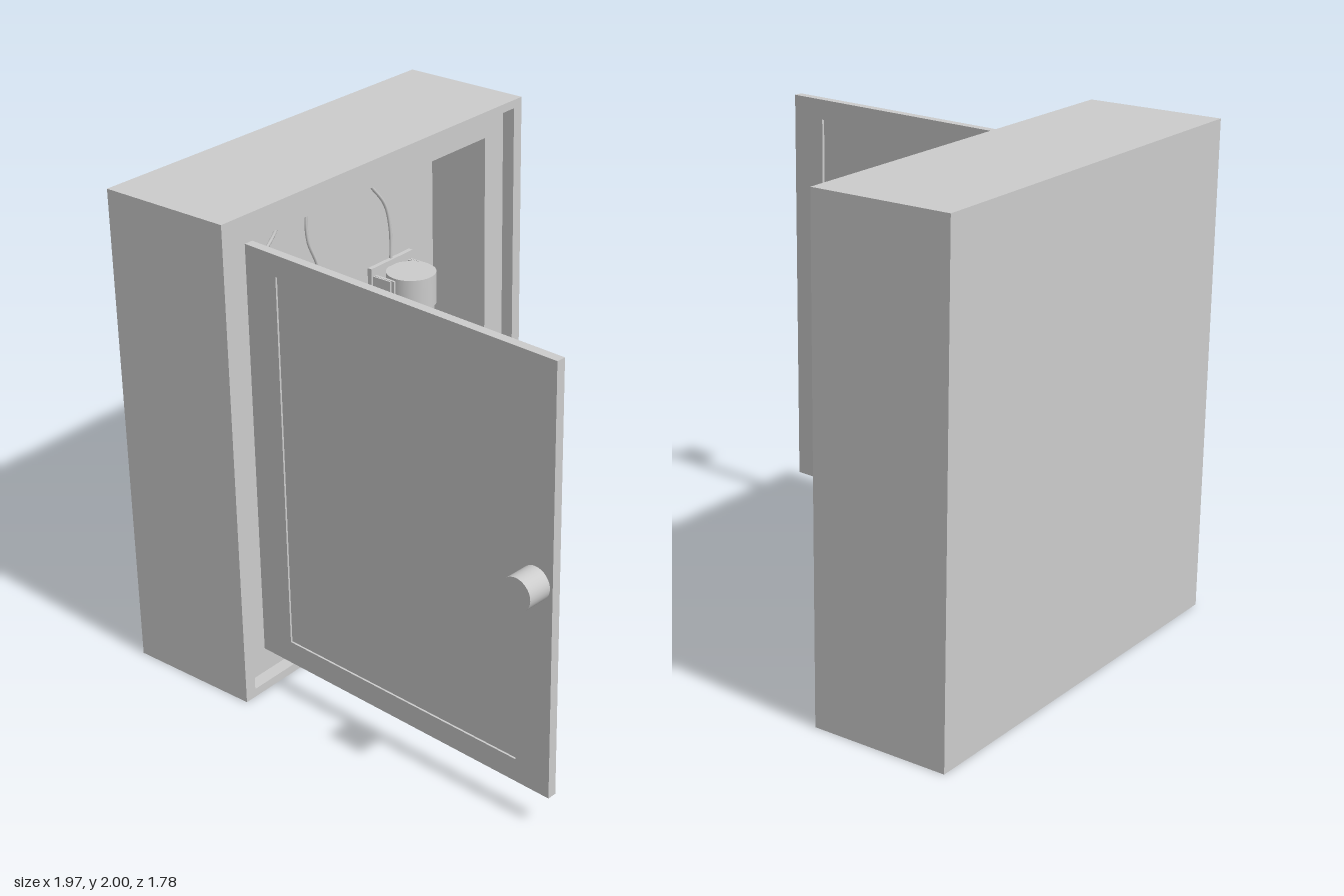
import * as THREE from 'three';

const grey = new THREE.MeshStandardMaterial({ color: 0xcccccc });

function add(parent, name, geometry, x = 0, y = 0, z = 0) {
  const mesh = new THREE.Mesh(geometry, grey);
  mesh.name = name;
  mesh.position.set(x, y, z);
  parent.add(mesh);
  return mesh;
}

// Box given by its lower and upper corners
function block(parent, name, [x0, y0, z0], [x1, y1, z1]) {
  return add(parent, name, new THREE.BoxGeometry(x1 - x0, y1 - y0, z1 - z0),
    (x0 + x1) / 2, (y0 + y1) / 2, (z0 + z1) / 2);
}

// Rectangular frame: outer and inner are [u0, v0, u1, v1]
function frame(outer, inner, depth) {
  const corners = ([a, b, c, d]) => [[a, b], [c, b], [c, d], [a, d]].map(p => new THREE.Vector2(...p));
  const shape = new THREE.Shape(corners(outer));
  shape.holes.push(new THREE.Path(corners(inner)));
  return new THREE.ExtrudeGeometry(shape, { depth, bevelEnabled: false });
}

const BACK = -0.99, WALL = -0.75, STEP = -0.475, FRONT = -0.42;

function createCabinet() {
  const cabinet = new THREE.Group();
  cabinet.name = 'cabinet';
  const outer = [-0.86, 0, 0.89, 2];
  // Frames are drawn in (-z, y) and turned to face +x
  const ring = (name, inner, x0, x1) => {
    const g = frame(outer, inner, x1 - x0).rotateY(Math.PI / 2);
    add(cabinet, name, g, x0);
  };
  block(cabinet, 'backBody', [BACK, 0, -0.89], [WALL, 2, 0.86]);
  ring('cabinetWalls', [-0.69, 0.14, 0.72, 1.86], WALL, STEP);
  ring('outerRim', [-0.81, 0.035, 0.84, 1.965], STEP, FRONT);
  block(cabinet, 'lowerStrip', [WALL - 0.01, 0.29, -0.66], [WALL + 0.02, 0.45, 0.635]);
  return cabinet;
}

function createFuse(z) {
  const fuse = new THREE.Group();
  fuse.name = 'fuse';
  fuse.position.set(-0.63, 0, z);
  add(fuse, 'fuseBody', new THREE.CylinderGeometry(0.095, 0.095, 0.6, 32), 0, 1, 0);
  for (const s of [-1, 1]) {
    const y = 1 + s * 0.268;
    add(fuse, 'endCap', new THREE.CylinderGeometry(0.104, 0.104, 0.135, 32), 0, y, 0);
    add(fuse, 'clipBase', new THREE.BoxGeometry(0.03, 0.185, 0.265), -0.115, y, 0);
    // Pair of spring leaves on each side of the cap
    for (const side of [-1, 1]) {
      add(fuse, 'clipLeaf', new THREE.BoxGeometry(0.115, 0.115, 0.012), -0.055, y, side * 0.107);
      add(fuse, 'clipOuterLeaf', new THREE.BoxGeometry(0.1, 0.115, 0.008), -0.06, y, side * 0.119);
    }
  }
  return fuse;
}

function createDoor() {
  const door = new THREE.Group();
  door.name = 'door';
  door.position.set(STEP, 0, 0.651);
  door.rotation.y = -0.0676;
  add(door, 'doorFrame', frame([0, 0.14, 1.462, 1.86], [0.155, 0.235, 1.307, 1.775], 0.038));
  block(door, 'doorPanel', [0.15, 0.23, 0.012], [1.312, 1.78, 0.03]);
  add(door, 'knob', new THREE.CylinderGeometry(0.065, 0.065, 0.105, 32).rotateX(Math.PI / 2), 1.385, 1.003, 0.088);
  return door;
}

export function createModel() {
  const model = new THREE.Group();
  model.name = 'fuseBox';
  model.add(createCabinet(), createDoor());
  for (const z of [0.415, -0.006, -0.43]) model.add(createFuse(z));

  // Wires running up the back wall, as [z, y] points
  const wires = [
    [[0.42, 1.34], [0.40, 1.48], [0.34, 1.6], [0.24, 1.7], [0.17, 1.86]],
    [[-0.02, 1.34], [0.01, 1.48], [0.06, 1.6], [0.06, 1.72], [0.01, 1.8], [-0.055, 1.865]],
    [[-0.44, 1.34], [-0.44, 1.48], [-0.41, 1.6], [-0.33, 1.7], [-0.26, 1.77], [-0.25, 1.865]],
  ];
  for (const points of wires) {
    const path = new THREE.CatmullRomCurve3(points.map(([z, y]) => new THREE.Vector3(WALL + 0.004, y, z)));
    add(model, 'wire', new THREE.TubeGeometry(path, 40, 0.007, 8));
  }
  return model;
}
